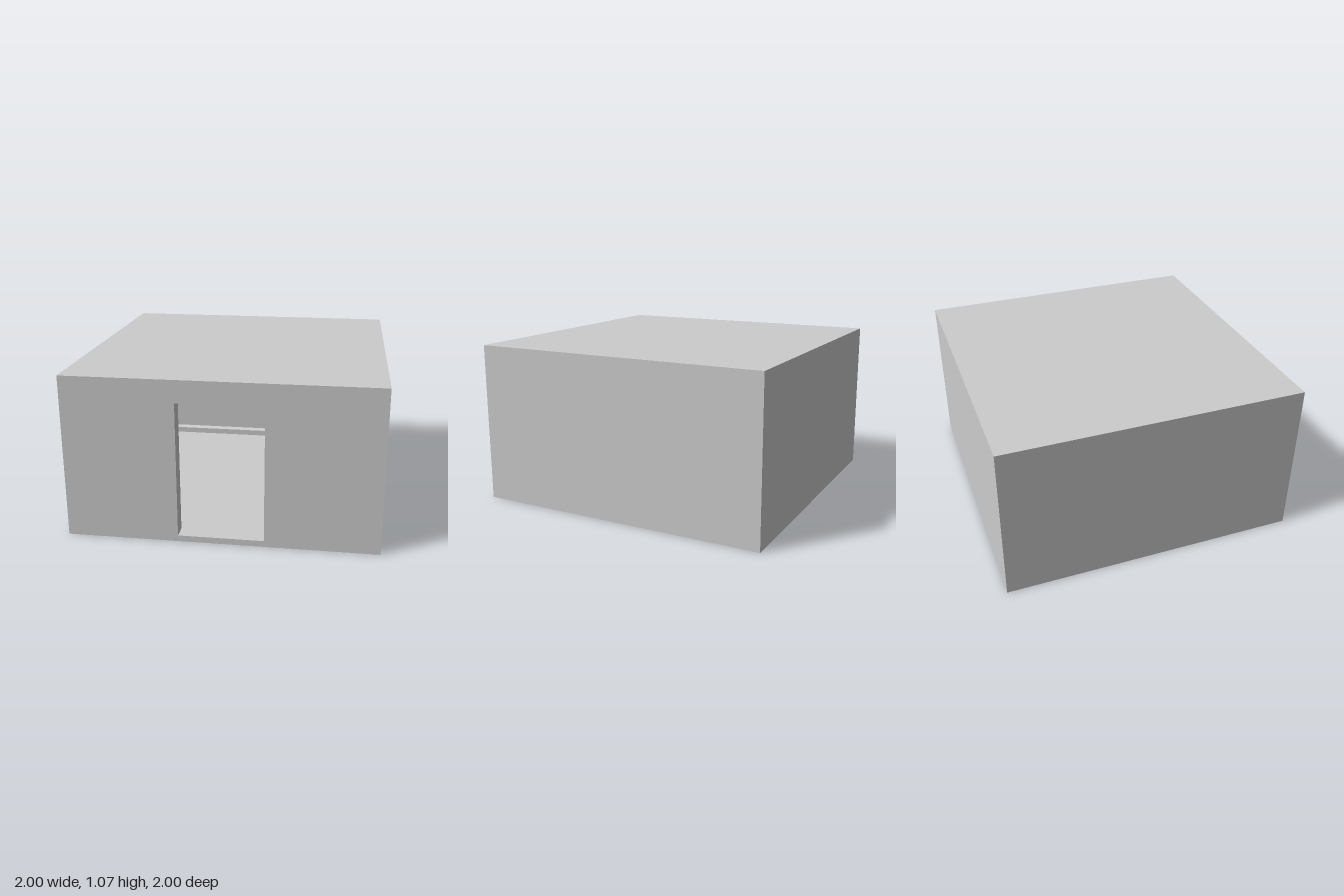
import * as THREE from 'three';

const HEIGHT = 1.07;
const SLAB = 0.04;    // floor and roof thickness
const INNER = 0.94;   // inner face of the side and back walls
const FRONT = 0.9;    // inner face of the thicker front wall

export function createModel() {
  const group = new THREE.Group();
  const material = new THREE.MeshStandardMaterial({ color: 0xcccccc, flatShading: true });

  const add = (name, geometry, x, y, z, turn = 0) => {
    const mesh = new THREE.Mesh(geometry, material);
    mesh.name = name;
    mesh.position.set(x, y, z);
    mesh.rotation.y = turn;
    group.add(mesh);
  };
  const box = (name, x0, x1, y0, y1, z0, z1) =>
    add(name, new THREE.BoxGeometry(x1 - x0, y1 - y0, z1 - z0),
      (x0 + x1) / 2, (y0 + y1) / 2, (z0 + z1) / 2);

  // Floor and roof slabs, set behind the front wall
  box('floor', -1, 1, 0, SLAB, -1, FRONT);
  box('roof', -1, 1, HEIGHT - SLAB, HEIGHT, -1, FRONT);

  // Side and back walls
  box('rightWall', -1, -INNER, SLAB, HEIGHT - SLAB, -1, FRONT);
  box('leftWall', INNER, 1, SLAB, HEIGHT - SLAB, -1, FRONT);
  box('backWall', -INNER, INNER, SLAB, HEIGHT - SLAB, -1, -INNER);

  // Front wall with the doorway cut through it
  const rect = (Type, x, y0, y1) => new Type([
    new THREE.Vector2(-x, y0), new THREE.Vector2(x, y0),
    new THREE.Vector2(x, y1), new THREE.Vector2(-x, y1),
  ]);
  const front = rect(THREE.Shape, 1, 0, HEIGHT);
  front.holes.push(rect(THREE.Path, 0.275, SLAB, 0.925));
  add('frontWall', new THREE.ExtrudeGeometry(front, { depth: 1 - FRONT, bevelEnabled: false }), 0, 0, FRONT);

  // Skirting boards with a sloped top, along three walls
  const profile = new THREE.Shape([[0, 0], [0.04, 0], [0.04, 0.043], [0, 0.053]]
    .map(([x, y]) => new THREE.Vector2(x, y)));
  const skirting = (name, length, x, z, turn) =>
    add(name, new THREE.ExtrudeGeometry(profile, { depth: length, bevelEnabled: false }), x, SLAB, z, turn);
  skirting('rightSkirting', FRONT + INNER, -INNER, -INNER, 0);
  skirting('leftSkirting', FRONT + INNER, INNER, FRONT, Math.PI);
  skirting('backSkirting', 2 * INNER, INNER, -INNER, -Math.PI / 2);

  return group;
}
